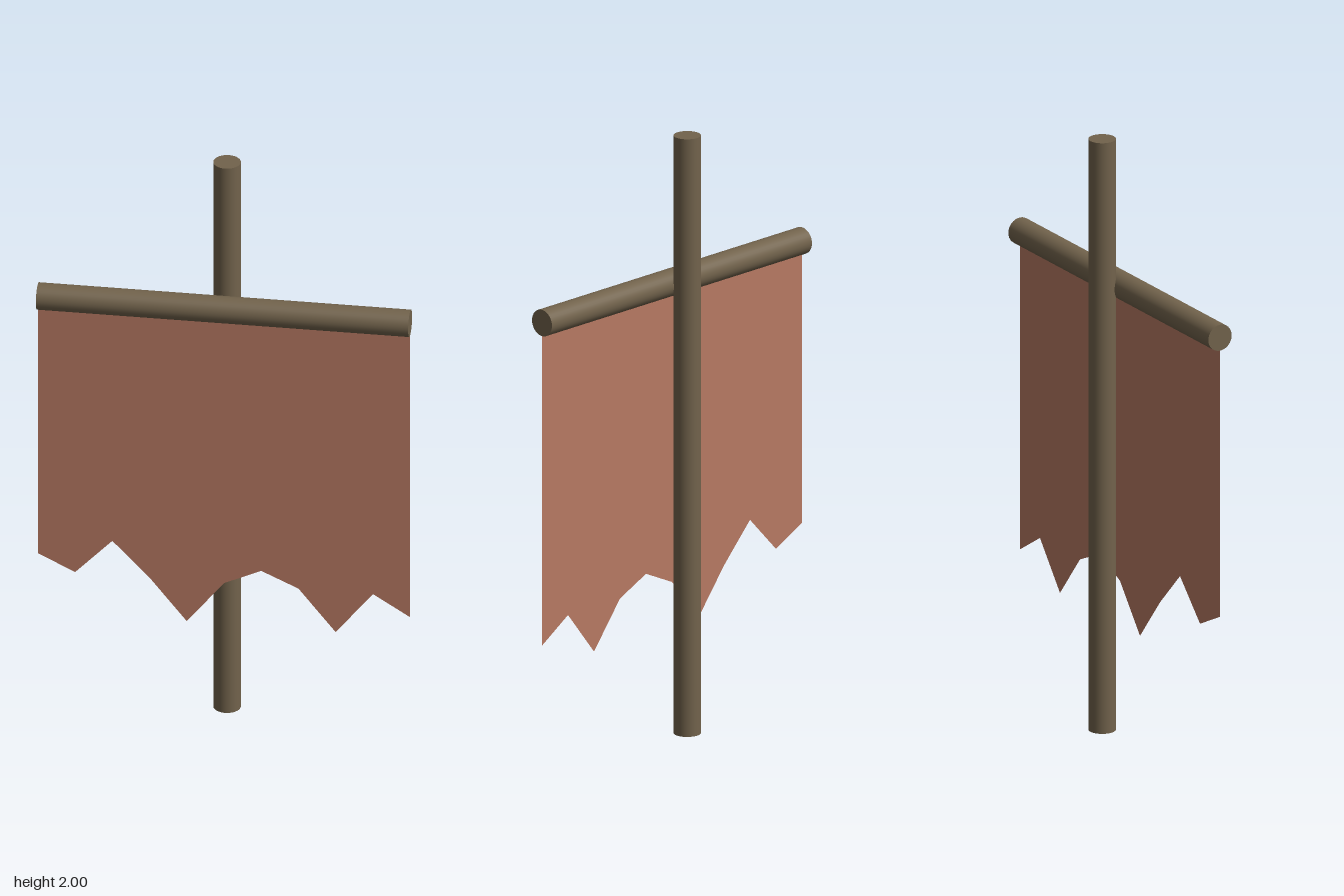
import * as THREE from 'three';

const RADIUS = 0.044;
const BAR_Y = 1.495;
const BAR_Z = 0.033;
const HALF_WIDTH = 0.6;

export function createModel() {
  const group = new THREE.Group();
  const wood = new THREE.MeshStandardMaterial({ color: 0x72634c });
  const fabric = new THREE.MeshStandardMaterial({ color: 0xb87a63, side: THREE.DoubleSide });

  const add = (name, geometry, material, x, y, z) => {
    const mesh = new THREE.Mesh(geometry, material);
    mesh.name = name;
    mesh.position.set(x, y, z);
    group.add(mesh);
    return mesh;
  };

  // Upright pole, standing behind the crossbar
  add('pole', new THREE.CylinderGeometry(RADIUS, RADIUS, 2, 32), wood, 0, 1, -0.034);

  // Horizontal crossbar
  const bar = add('crossbar', new THREE.CylinderGeometry(RADIUS, RADIUS, HALF_WIDTH * 2, 32), wood, 0, BAR_Y, BAR_Z);
  bar.rotation.z = Math.PI / 2;

  // Flat cloth with a torn lower edge: evenly spaced hem heights, from -x to +x
  const hem = [0.55, 0.49, 0.615, 0.49, 0.34, 0.49, 0.545, 0.49, 0.34, 0.49, 0.415];
  const outline = hem.map((y, i) =>
    new THREE.Vector2(-HALF_WIDTH + (2 * HALF_WIDTH * i) / (hem.length - 1), y));
  outline.push(new THREE.Vector2(HALF_WIDTH, BAR_Y), new THREE.Vector2(-HALF_WIDTH, BAR_Y));
  add('cloth', new THREE.ShapeGeometry(new THREE.Shape(outline)), fabric, 0, 0, BAR_Z);

  return group;
}
